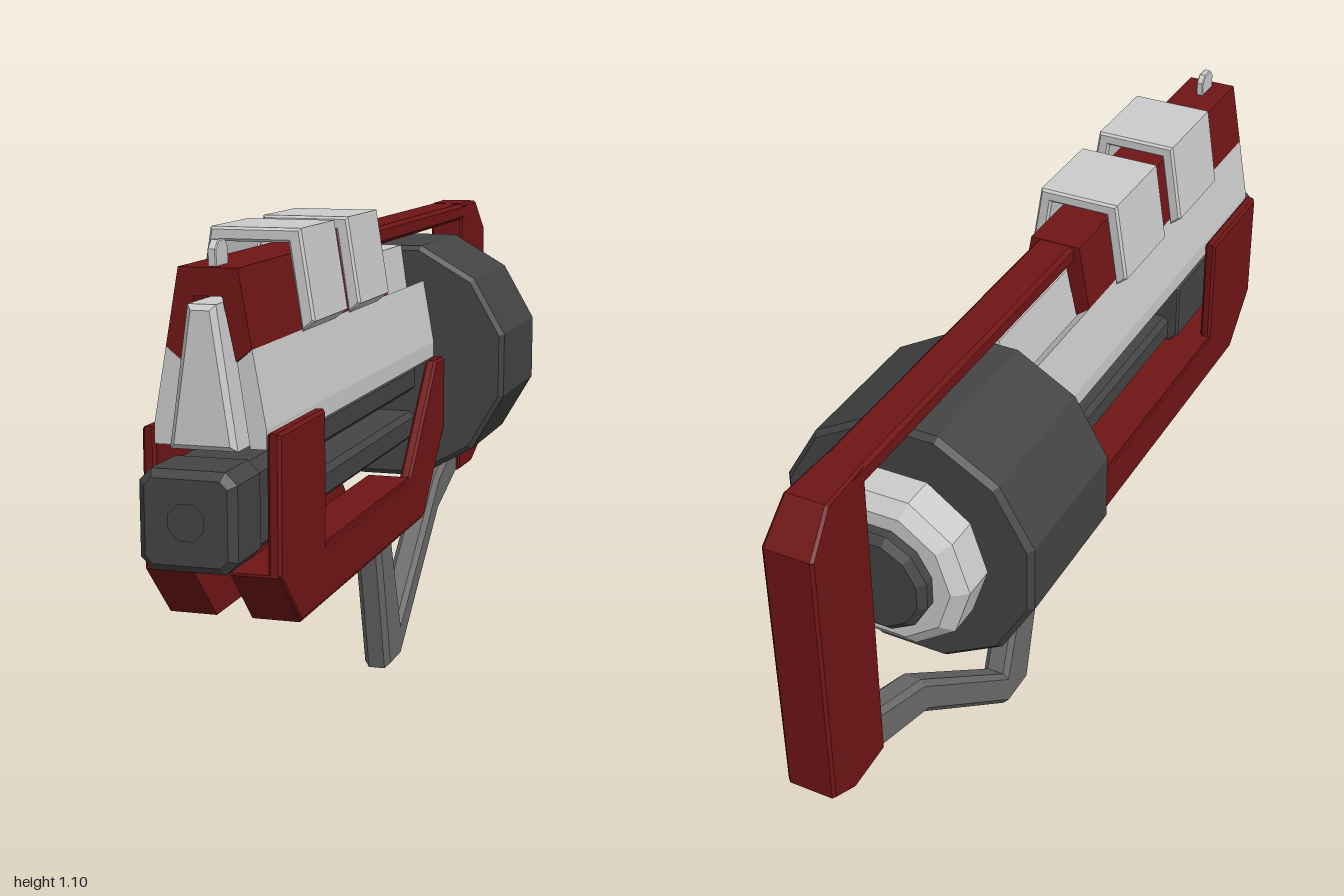
import * as THREE from 'three';

const mat = (color) => new THREE.MeshStandardMaterial({ color, flatShading: true });

export function createModel() {
  const model = new THREE.Group();
  const grey = mat(0xcccccc), dark = mat(0x444444), mid = mat(0x6c6c6c), red = mat(0x701515);

  const add = (name, geometry, material) => {
    const mesh = new THREE.Mesh(geometry, material);
    mesh.name = name;
    model.add(mesh);
    return mesh;
  };
  const toShape = (pts) => new THREE.Shape(pts.map(([a, b]) => new THREE.Vector2(a, b)));
  const extrude = (shape, depth, bevel) => new THREE.ExtrudeGeometry(shape, {
    depth: depth - 2 * bevel, bevelEnabled: bevel > 0, bevelSize: bevel,
    bevelThickness: bevel, bevelOffset: -bevel, bevelSegments: 1, curveSegments: 4,
  }).translate(0, 0, bevel);

  // Side profile of (z, y) points spanning x0..x1
  const sideGeo = (pts, x0, x1, bevel = 0.006) =>
    extrude(toShape(pts), x1 - x0, bevel).rotateY(-Math.PI / 2).translate(x1, 0, 0);
  // Front profile of (x, y) points spanning z0..z1
  const frontGeo = (shape, z0, z1, bevel = 0.005) => extrude(shape, z1 - z0, bevel).translate(0, 0, z0);
  // Closes a half profile (x > 0, listed top to bottom) by mirroring it
  const mirrored = (half) => toShape([...half, ...half.slice().reverse().map(([x, y]) => [-x, y])]);
  const chamferedBox = (w, h, c, cy) => mirrored([
    [w - c, cy + h], [w, cy + h - c], [w, cy - h + c], [w - c, cy - h]]);

  // Faceted drum, nut and cap on one axis; the profile is (radius, z) from front to back
  const turned = (name, profile, sides, turn, material) => {
    const pts = profile.map(([r, z]) => new THREE.Vector2(r, -z));
    const geo = new THREE.LatheGeometry(pts, sides, turn).rotateX(-Math.PI / 2);
    return add(name, geo.translate(0, 0.714, 0), material);
  };
  turned('drum', [[0, -0.27], [0.2, -0.27], [0.268, -0.27], [0.279, -0.28], [0.279, -0.6],
    [0.268, -0.612], [0.2, -0.612], [0, -0.612]], 12, Math.PI / 12, dark);
  turned('drumNut', [[0, -0.61], [0.168, -0.61], [0.18, -0.62], [0.18, -0.69], [0.15, -0.712],
    [0, -0.712]], 10, Math.PI / 2, grey);
  turned('drumCap', [[0, -0.7], [0.116, -0.7], [0.116, -0.732], [0.1, -0.746], [0, -0.746]],
    12, Math.PI / 12, dark);

  // Muzzle with an octagonal bore
  const muzzle = chamferedBox(0.09, 0.09, 0.022, 0.62);
  const bore = new THREE.Path();
  for (let i = 0; i < 8; i++) {
    const a = -(i + 0.5) * Math.PI / 4;
    const x = 0.05 * Math.cos(a), y = 0.62 + 0.05 * Math.sin(a);
    if (i) bore.lineTo(x, y); else bore.moveTo(x, y);
  }
  bore.closePath();
  muzzle.holes.push(bore);
  add('muzzle', frontGeo(muzzle, 0.86, 1, 0.014), dark);
  add('barrelBlock', frontGeo(chamferedBox(0.085, 0.085, 0.02, 0.62), 0.52, 0.89), dark);
  // Twin barrel rods
  for (const [name, y] of [['upperRod', 0.678], ['lowerRod', 0.567]])
    add(name, frontGeo(chamferedBox(0.06, 0.032, 0.012, y), -0.3, 0.54, 0), dark);

  // Wedge-shaped core
  add('core', frontGeo(mirrored([[0.026, 0.985], [0.063, 0.73]]), -0.28, 0.92, 0.01), grey);

  // Roof channel, top bar and end plate
  add('topCover', frontGeo(mirrored([[0.055, 1.045], [0.08, 0.905], [0.05, 0.882], [0.026, 0.995]]),
    0.03, 0.88, 0), red);
  add('topBar', frontGeo(chamferedBox(0.042, 0.02, 0.008, 1.024), -0.87, 0.04, 0), red);
  const stock = sideGeo([[-0.8, 1.045], [-0.93, 1.045], [-1, 0.97], [-1, 0.4], [-0.92, 0.35],
    [-0.8, 0.35]], -0.04, 0.04, 0.005);
  // The end plate flares toward the back
  const p = stock.attributes.position;
  for (let i = 0; i < p.count; i++) {
    const t = THREE.MathUtils.clamp((-0.88 - p.getZ(i)) / 0.12, 0, 1);
    p.setX(i, p.getX(i) * (1 + 0.32 * t));
  }
  stock.computeVertexNormals();
  add('endPlate', stock, red);

  // Two clamps over the roof
  const clamp = mirrored([[0.088, 1.095], [0.115, 0.925], [0.09, 0.905], [0.064, 1.068]]);
  for (const z of [0.14, 0.43]) add('clamp', frontGeo(clamp, z, z + 0.21), grey);

  // Small front sight
  add('frontSight', sideGeo([[0.8, 1.03], [0.86, 1.03], [0.86, 1.075], [0.845, 1.09],
    [0.815, 1.09], [0.8, 1.075]], -0.008, 0.008, 0.002), grey);

  // Shell walls, side frames and lower rails, once per side
  const shell = [[0.08, 0.905], [0.052, 0.882], [0.07, 0.76], [0.075, 0.73], [0.105, 0.73], [0.105, 0.765]];
  const frame = [[0.88, 0.76], [0.62, 0.76], [0.62, 0.5], [0.02, 0.5], [-0.2, 0.73], [-0.28, 0.73],
    [-0.28, 0.565], [-0.1, 0.39], [0.77, 0.39], [0.88, 0.5]];
  const rail = [[0.88, 0.505], [0.02, 0.505], [-0.1, 0.39], [0.77, 0.39], [0.88, 0.5]];
  for (const s of [1, -1]) {
    const side = s > 0 ? 'left' : 'right';
    add(side + 'ShellWall', frontGeo(toShape(shell.map(([x, y]) => [s * x, y])), -0.28, 0.88, 0), grey);
    const [a, b] = s > 0 ? [0.104, 0.13] : [-0.13, -0.104];
    add(side + 'SideFrame', sideGeo(frame, a, b), red);
    const [c, d] = s > 0 ? [0.035, 0.127] : [-0.127, -0.035];
    add(side + 'LowerRail', sideGeo(rail, c, d, 0), red);
  }

  // Bent grip strut
  add('grip', sideGeo([[-0.05, 0.44], [-0.168, 0], [-0.27, 0], [-0.62, 0.28], [-0.82, 0.345],
    [-0.82, 0.445], [-0.62, 0.37], [-0.27, 0.09], [-0.14, 0.44]], -0.031, 0.031, 0.012), mid);

  return model;
}
